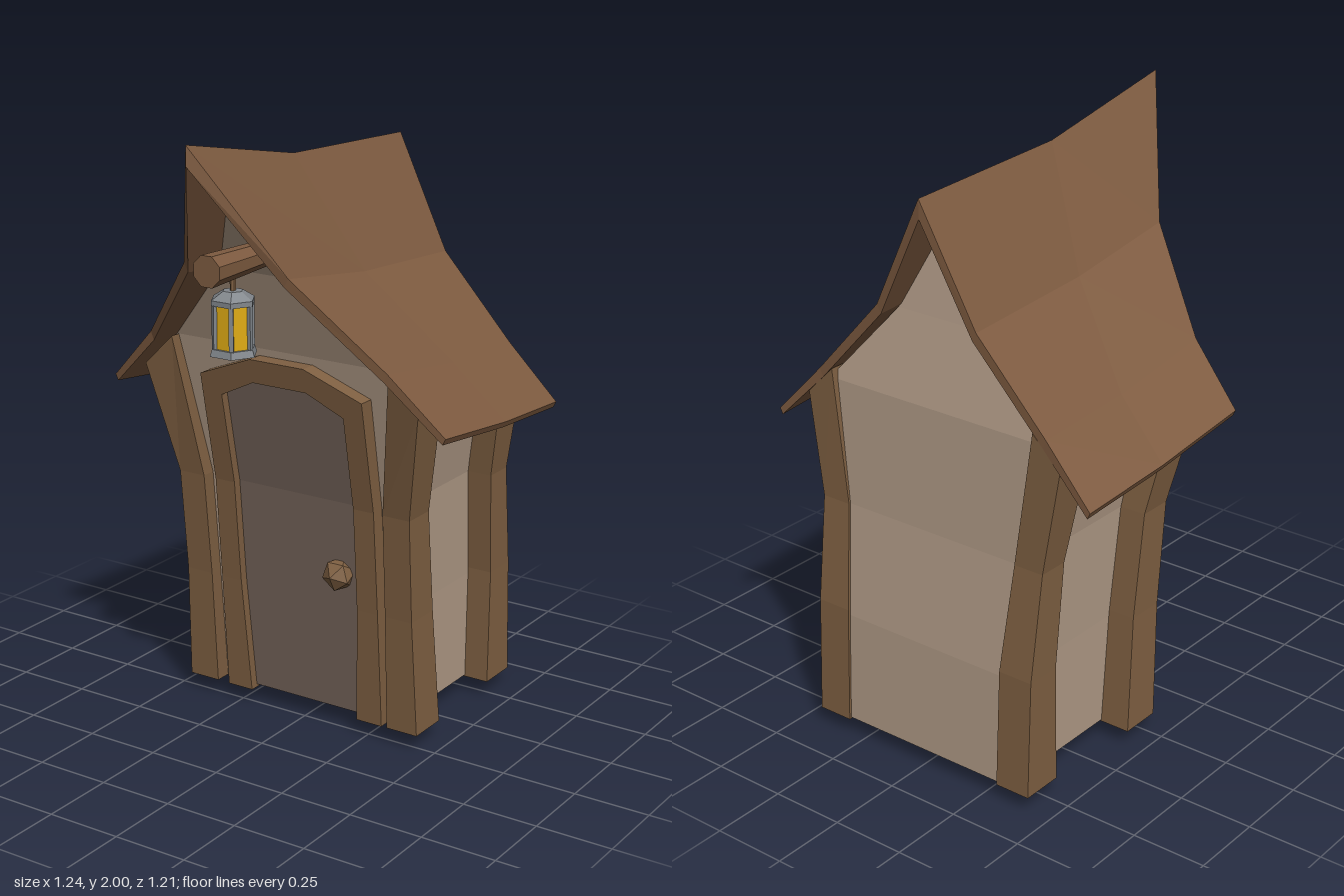
import * as THREE from 'three';

const material = (color) => new THREE.MeshStandardMaterial({ color, flatShading: true });

// Skin a run of closed rings (counter-clockwise seen from the end) and cap both ends.
function loft(name, rings, mat) {
  const pos = [];
  const quad = (a, b, c, d) => pos.push(...a, ...b, ...c, ...a, ...c, ...d);
  const n = rings[0].length;
  for (let r = 0; r < rings.length - 1; r++) {
    const a = rings[r], b = rings[r + 1];
    for (let i = 0; i < n; i++) {
      const j = (i + 1) % n;
      quad(a[i], a[j], b[j], b[i]);
    }
  }
  const first = rings[0], last = rings[rings.length - 1];
  for (let i = 0; i < n / 2 - 1; i++) {
    quad(last[i], last[i + 1], last[n - 2 - i], last[n - 1 - i]);
    quad(first[n - 1 - i], first[n - 2 - i], first[i + 1], first[i]);
  }
  const geo = new THREE.BufferGeometry();
  geo.setAttribute('position', new THREE.Float32BufferAttribute(pos, 3));
  geo.computeVertexNormals();
  const mesh = new THREE.Mesh(geo, mat);
  mesh.name = name;
  return mesh;
}

// Forward lean of the front side at a given height
const LEAN = [[0, 0.015], [0.45, 0.05], [0.8, 0.08], [1.2, 0.16], [1.4, 0.2]];
function lean(y) {
  let i = 0;
  while (i < LEAN.length - 2 && y > LEAN[i + 1][0]) i++;
  const [y0, z0] = LEAN[i], [y1, z1] = LEAN[i + 1];
  return z0 + (z1 - z0) * (y - y0) / (y1 - y0);
}

// Horizontal ring symmetric about x = 0
const slab = (w, yf, zf, yb, zb) => [[w, yf, zf], [w, yb, zb], [-w, yb, zb], [-w, yf, zf]];

// Bent corner post; rows are [y inner, y outer, x inner, x outer, z back, z front]
function post(name, side, rows, mat, drop = 0) {
  const rings = rows.map(([yi, yo, xi, xo, zb, zf], k) => {
    const yc = k === 0 ? yi - drop : yi;
    const ring = [[xo, yo, zf], [xo, yo, zb], [xi, yc, zb], [xi, yi, zf]];
    return side > 0 ? ring : ring.map(([x, y, z]) => [-x, y, z]).reverse();
  });
  return loft(name, rings, mat);
}

function createLantern(metal, glass) {
  const g = new THREE.Group();
  g.name = 'lantern';
  const add = (name, geo, mat, x, y, z) => {
    const m = new THREE.Mesh(geo, mat);
    m.name = name;
    m.position.set(x, y, z);
    g.add(m);
    return m;
  };
  const hex = (top, bottom, h) => new THREE.CylinderGeometry(top, bottom, h, 6).rotateY(Math.PI / 6);
  add('lanternBase', hex(0.07, 0.077, 0.022), metal, 0, 0.011, 0);
  add('lanternGlass', hex(0.06, 0.06, 0.14), glass, 0, 0.09, 0);
  add('lanternRim', hex(0.071, 0.071, 0.016), metal, 0, 0.163, 0);
  add('lanternCap', hex(0.032, 0.071, 0.025), metal, 0, 0.183, 0);
  for (let i = 0; i < 6; i++) {
    const a = i * Math.PI / 3;
    const bar = add('lanternBar', new THREE.BoxGeometry(0.014, 0.14, 0.014), metal,
      0.06 * Math.cos(a), 0.09, 0.06 * Math.sin(a));
    bar.rotation.y = -a;
  }
  return g;
}

export function createModel() {
  const group = new THREE.Group();
  group.name = 'hut';
  const wood = material(0x7f6042);
  const roofWood = material(0x7e5b40);
  const plaster = material(0xb09a86);
  const doorWood = material(0x75645a);
  const metal = material(0x82878c);
  const glass = material(0xe0ac14);

  // Walls with front and back gables, set in behind the posts
  group.add(loft('walls', [
    slab(0.342, 0.06, -0.03, 0.06, -0.6),
    slab(0.342, 0.43, 0, 0.43, -0.584),
    slab(0.35, 0.8, 0.03, 0.8, -0.538),
    slab(0.415, 1.28, 0.12, 1.2, -0.515),
    slab(0.185, 1.545, 0.21, 1.465, -0.45),
    slab(0.002, 1.89, 0.38, 1.81, -0.38),
  ], plaster));

  // Four corner posts
  const front = [
    [0.055, 0.055, 0.335, 0.447, -0.115, 0.027], [0.45, 0.45, 0.338, 0.436, -0.08, 0.05],
    [0.8, 0.8, 0.343, 0.44, -0.037, 0.08], [1.28, 1.175, 0.405, 0.512, 0.02, 0.158],
  ];
  const back = [
    [0.055, 0.055, 0.305, 0.428, -0.608, -0.465], [0.45, 0.45, 0.307, 0.428, -0.592, -0.47],
    [0.8, 0.8, 0.33, 0.435, -0.545, -0.44], [1.24, 1.14, 0.39, 0.49, -0.535, -0.4],
  ];
  for (const side of [1, -1]) {
    const label = side > 0 ? 'Left' : 'Right';
    group.add(post('front' + label + 'Post', side, front, wood, side > 0 ? 0.055 : 0));
    group.add(post('back' + label + 'Post', side, back, wood));
  }

  // Curved roof: rows run back to front, columns from eave to ridge
  const rows = [
    [[0.608, 1.055, -0.548], [0.44, 1.23, -0.535], [0.19, 1.5, -0.54], [0, 1.87, -0.56]],
    [[0.615, 1.08, -0.2], [0.44, 1.25, -0.17], [0.19, 1.53, -0.05], [0, 1.895, 0.06]],
    [[0.62, 1.125, 0.18], [0.44, 1.305, 0.22], [0.19, 1.59, 0.37], [0, 2, 0.604]],
  ];
  const under = [[0.01, 0.02], [0.012, 0.028], [0.015, 0.028], [0, 0.062]];
  group.add(loft('roof', rows.map((half) => {
    const inner = half.map(([x, y, z], i) => [x - under[i][0], y - under[i][1], z]);
    const span = (h) => [...h, ...h.slice(0, 3).reverse().map(([x, y, z]) => [-x, y, z])];
    return [...span(half), ...span(inner).reverse()];
  }), roofWood));

  // Door frame: [outer x, outer y, inner x, inner y] up one side, mirrored down the other
  const jamb = [
    [0.303, 0.05, 0.208, 0.05], [0.303, 0.45, 0.226, 0.45], [0.303, 0.8, 0.228, 0.8],
    [0.303, 1.175, 0.229, 1.112], [0.1, 1.255, 0.1, 1.175],
  ];
  const arch = [...jamb, ...[...jamb].reverse().map(([a, b, c, d]) => [-a, b, -c, d])];
  const frame = loft('doorFrame', arch.map(([xo, yo, xi, yi]) => [
    [xo, yo, lean(yo)], [xo, yo, lean(yo) - 0.1], [xi, yi, lean(yi) - 0.1], [xi, yi, lean(yi)],
  ]), wood);
  frame.position.x = 0.007;
  group.add(frame);

  // Door and knob
  const doorRows = [[0.06, 0.225], [0.45, 0.235], [0.8, 0.24], [1.115, 0.24], [1.185, 0.1]];
  group.add(loft('door', doorRows.map(([y, w]) =>
    slab(w, y, lean(y) - 0.03, y, lean(y) - 0.08)), doorWood));
  const knob = new THREE.Mesh(new THREE.IcosahedronGeometry(0.056, 0), wood);
  knob.name = 'doorKnob';
  knob.position.set(0.155, 0.55, 0.035);
  knob.rotation.set(0.5, 0, 0);
  group.add(knob);

  // Beam above the door carrying the lantern
  const beam = new THREE.Mesh(
    new THREE.CylinderGeometry(0.051, 0.038, 0.36, 8).rotateY(Math.PI / 8).rotateX(Math.PI / 2), roofWood);
  beam.name = 'lanternBeam';
  beam.position.set(0.005, 1.617, 0.34);
  group.add(beam);
  const hook = new THREE.Mesh(new THREE.CylinderGeometry(0.009, 0.009, 0.06, 6), wood);
  hook.name = 'lanternHook';
  hook.position.set(0.005, 1.555, 0.39);
  group.add(hook);
  const lantern = createLantern(metal, glass);
  lantern.position.set(0.005, 1.34, 0.39);
  group.add(lantern);

  return group;
}
